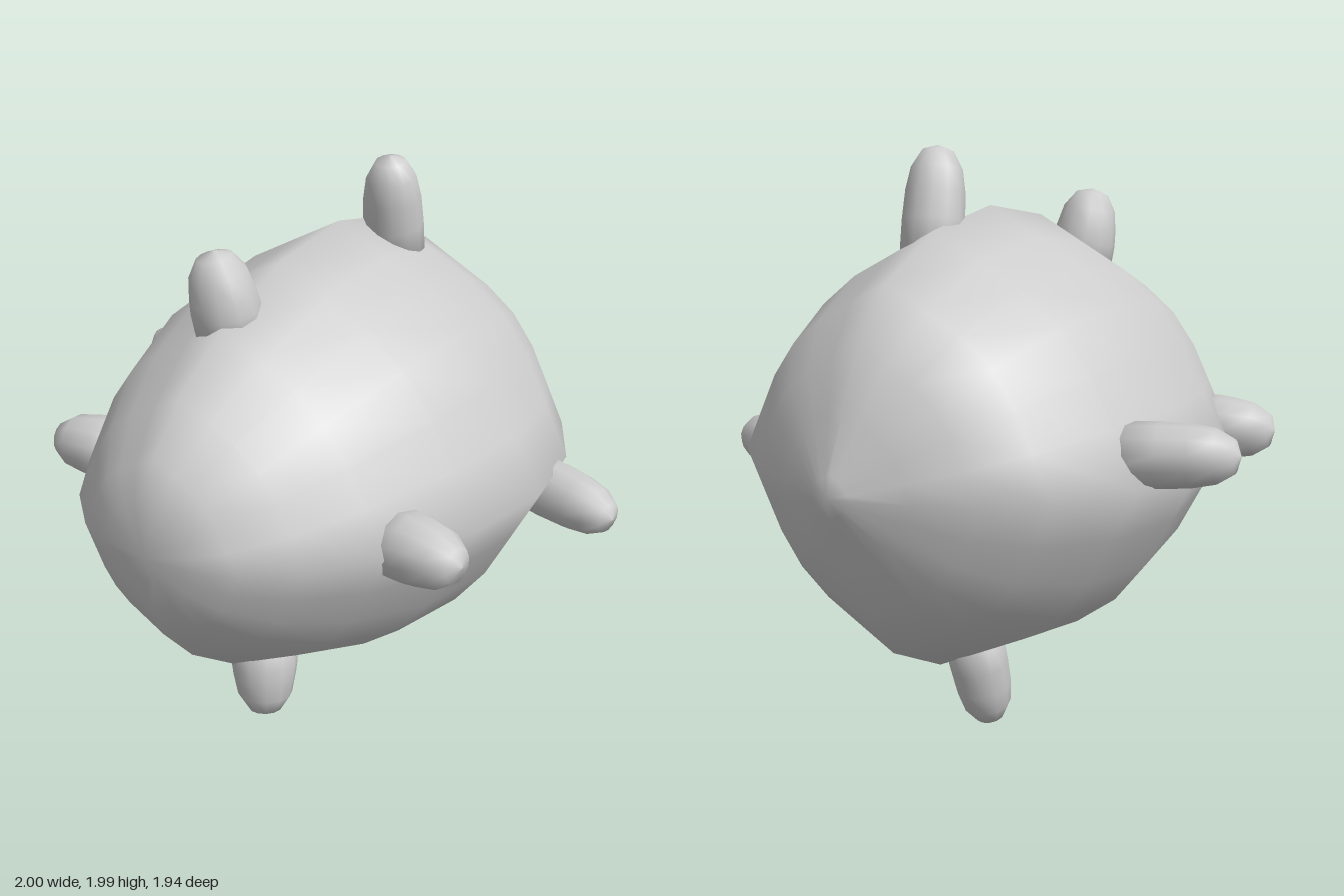
import * as THREE from 'three';

const material = new THREE.MeshStandardMaterial({ color: 0xcccccc });

// Rings along z as [z, radius], back to front
const RINGS = [
  [-0.95, 0.07], [-0.88, 0.25], [-0.80, 0.44], [-0.66, 0.605], [-0.40, 0.745], [-0.08, 0.80],
  [0.25, 0.745], [0.56, 0.61], [0.77, 0.455], [0.9, 0.305], [0.945, 0.19], [0.958, 0.09],
];
// Radius factors from a ridge (0 degrees) to the middle of a side (45 degrees)
const RIDGE = [1, 0.91, 0.89, 0.89];
const SIDES = 24;

// Lofted body with four soft ridges
function makeBody() {
  const positions = [], index = [];
  for (const [z, r] of RINGS) {
    for (let i = 0; i < SIDES; i++) {
      const a = (i / SIDES) * Math.PI * 2;
      const k = i % 6;
      const f = r * RIDGE[Math.min(k, 6 - k)];
      positions.push(f * Math.cos(a), 1 + f * Math.sin(a), z);
    }
  }
  const back = RINGS.length * SIDES, front = back + 1;
  positions.push(0, 1, -0.97, 0, 1, 0.967);
  const last = (RINGS.length - 1) * SIDES;
  for (let i = 0; i < SIDES; i++) {
    const j = (i + 1) % SIDES;
    index.push(back, j, i, front, last + i, last + j);
    for (let k = 0; k < last; k += SIDES) {
      index.push(k + i, k + j, k + SIDES + j, k + i, k + SIDES + j, k + SIDES + i);
    }
  }
  const geo = new THREE.BufferGeometry();
  geo.setAttribute('position', new THREE.Float32BufferAttribute(positions, 3));
  geo.setIndex(index);
  geo.computeVertexNormals();
  const mesh = new THREE.Mesh(geo, material);
  mesh.name = 'body';
  return mesh;
}

// Blunt tapered stub running from inside the body out to its tip
function makeStub(name, base, tip, radius) {
  const from = new THREE.Vector3(...base), to = new THREE.Vector3(...tip);
  const dir = to.clone().sub(from);
  const len = dir.length();
  const profile = [
    [0, 0], [radius, 0], [radius, len * 0.4], [radius * 0.95, len - 0.15],
    [radius * 0.82, len - 0.075], [radius * 0.5, len - 0.018], [0, len],
  ].map(([x, y]) => new THREE.Vector2(x, y));
  const mesh = new THREE.Mesh(new THREE.LatheGeometry(profile, 12), material);
  mesh.name = name;
  mesh.position.copy(from);
  mesh.quaternion.setFromUnitVectors(new THREE.Vector3(0, 1, 0), dir.normalize());
  return mesh;
}

export function createModel() {
  const group = new THREE.Group();
  group.name = 'studdedBody';
  group.add(makeBody());

  // Short front stubs and longer, forward-leaning rear stubs
  const stubs = [
    ['frontTopStub', [-0.045, 1.5, 0.44], [-0.08, 1.825, 0.49], 0.115],
    ['frontBottomStub', [0.045, 0.5, 0.44], [0.08, 0.18, 0.49], 0.115],
    ['frontLeftStub', [0.5, 1, 0.44], [0.825, 1.01, 0.49], 0.115],
    ['frontRightStub', [-0.5, 1, 0.44], [-0.825, 1.01, 0.49], 0.115],
    ['rearTopStub', [0.075, 1.6, -0.325], [0.1, 2, -0.235], 0.104],
    ['rearBottomStub', [-0.075, 0.4, -0.325], [-0.1, 0.01, -0.235], 0.104],
    ['rearLeftStub', [0.6, 0.93, -0.325], [1, 0.9, -0.235], 0.104],
    ['rearRightStub', [-0.6, 1.08, -0.325], [-1, 1.11, -0.235], 0.104],
  ];
  for (const s of stubs) group.add(makeStub(...s));
  return group;
}
